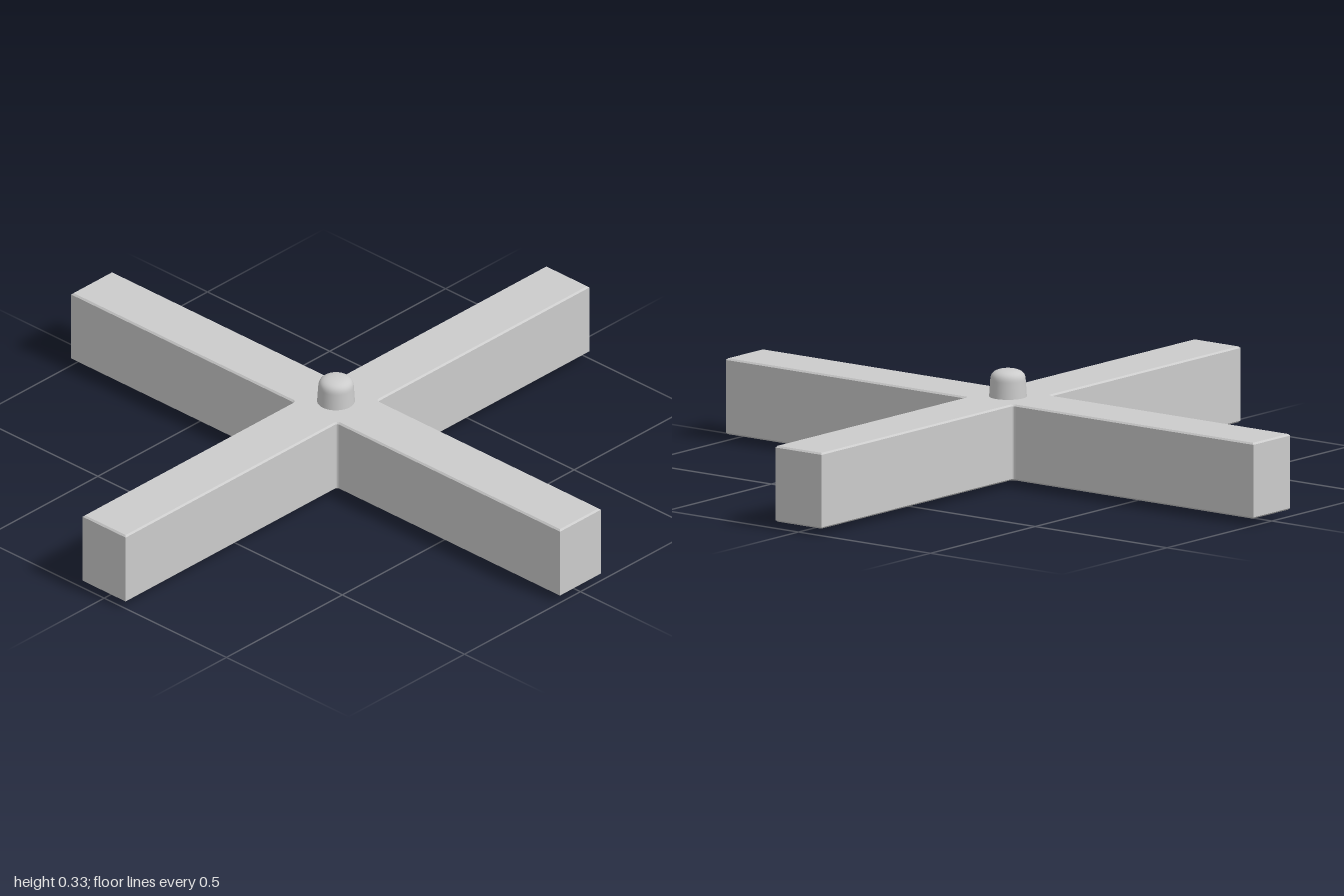
import * as THREE from 'three';

const material = new THREE.MeshStandardMaterial({ color: 0xcccccc });

export function createModel() {
  const group = new THREE.Group();
  const half = 0.088, fillet = 0.01, bevel = 0.005;
  const bottom = 0.02, top = 0.25;

  // Cross-shaped body: one arm per quarter turn, with small fillets in the inner corners
  const shape = new THREE.Shape();
  for (let i = 0; i < 4; i++) {
    const at = (x, y) => new THREE.Vector2(x, y).rotateAround(new THREE.Vector2(), i * Math.PI / 2);
    const a = at(1, -half), b = at(1, half), c = at(half + fillet, half);
    const corner = at(half, half), d = at(half, half + fillet);
    if (i === 0) shape.moveTo(a.x, a.y);
    else shape.lineTo(a.x, a.y);
    shape.lineTo(b.x, b.y);
    shape.lineTo(c.x, c.y);
    shape.quadraticCurveTo(corner.x, corner.y, d.x, d.y);
  }
  shape.closePath();
  const crossGeometry = new THREE.ExtrudeGeometry(shape, {
    depth: top - bottom - 2 * bevel, curveSegments: 4,
    bevelEnabled: true, bevelSize: bevel, bevelThickness: bevel,
    bevelOffset: -bevel, bevelSegments: 1,
  });
  crossGeometry.rotateX(-Math.PI / 2).translate(0, bottom + bevel, 0);
  const cross = new THREE.Mesh(crossGeometry, material);
  cross.name = 'crossBody';
  group.add(cross);

  // Tapered knob with a rounded top
  const knobProfile = new THREE.Path();
  knobProfile.moveTo(0.057, top - 0.01);
  knobProfile.lineTo(0.053, 0.3);
  knobProfile.bezierCurveTo(0.052, 0.318, 0.045, 0.333, 0, 0.333);
  const knob = new THREE.Mesh(new THREE.LatheGeometry(knobProfile.getPoints(10), 32), material);
  knob.name = 'topKnob';
  group.add(knob);

  // Small rounded foot under the centre
  const footProfile = new THREE.Path();
  footProfile.moveTo(0, 0);
  footProfile.bezierCurveTo(0.014, 0, 0.024, 0.006, 0.027, bottom + 0.005);
  const foot = new THREE.Mesh(new THREE.LatheGeometry(footProfile.getPoints(8), 24), material);
  foot.name = 'bottomFoot';
  group.add(foot);

  return group;
}
